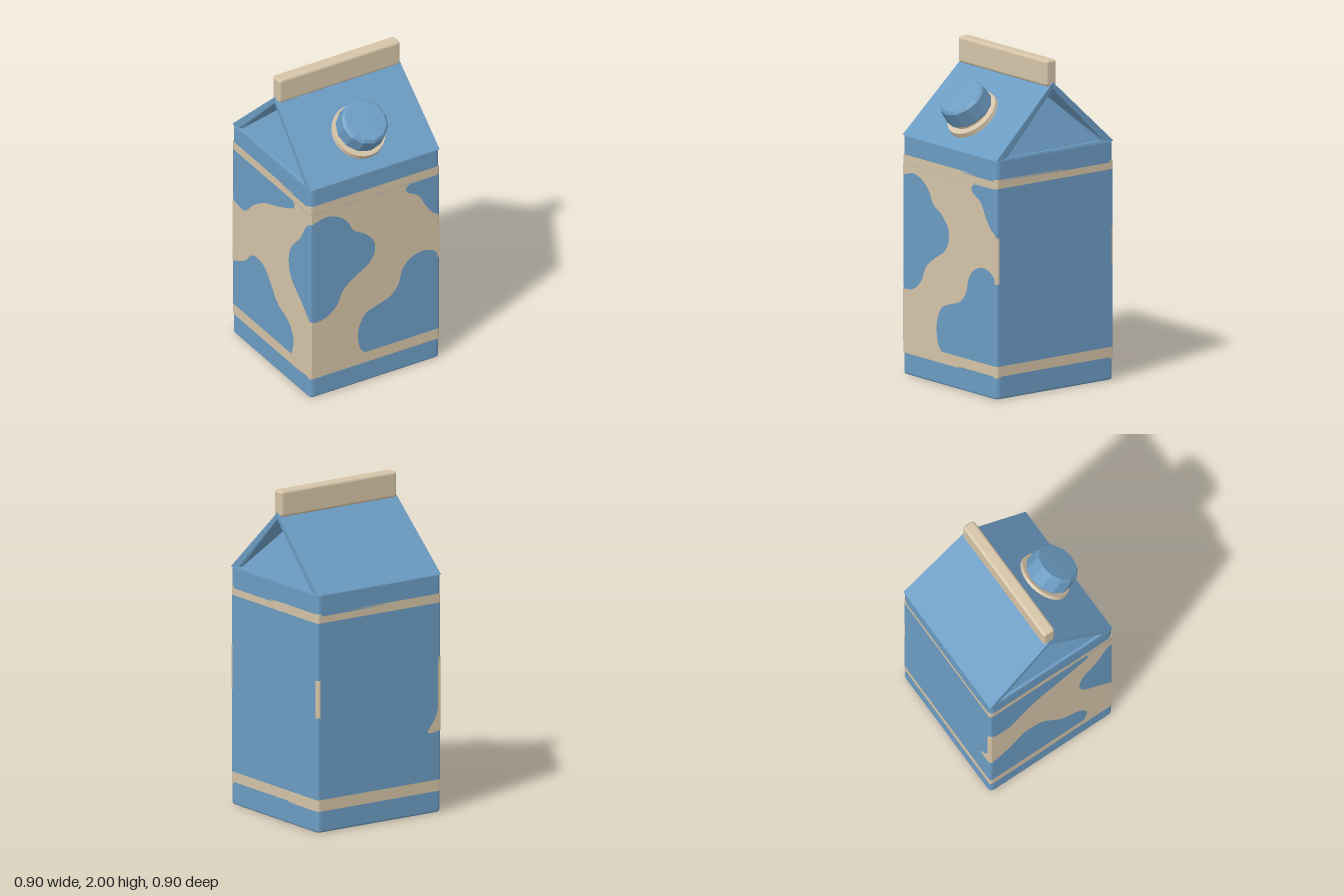
import * as THREE from 'three';
import { RoundedBoxGeometry } from 'three/addons/geometries/RoundedBoxGeometry.js';

const blue = new THREE.MeshStandardMaterial({ name: 'carton blue', color: 0x6c9cc3 });
const beige = new THREE.MeshStandardMaterial({ name: 'warm beige', color: 0xd5c4a8 });

const W = 0.45, D = 0.442, R = 0.02; // half width, half depth, corner radius

function add(parent, name, geometry, material, x = 0, y = 0, z = 0) {
  const mesh = new THREE.Mesh(geometry, material);
  mesh.name = name;
  mesh.position.set(x, y, z);
  parent.add(mesh);
  return mesh;
}

// Horizontal slice of the carton between two heights, with optional bevelled rims
function slice(y0, y1, bevel = 0) {
  const w = W - bevel, d = D - bevel, r = R;
  const s = new THREE.Shape();
  s.moveTo(-w + r, -d);
  s.lineTo(w - r, -d).quadraticCurveTo(w, -d, w, -d + r);
  s.lineTo(w, d - r).quadraticCurveTo(w, d, w - r, d);
  s.lineTo(-w + r, d).quadraticCurveTo(-w, d, -w, d - r);
  s.lineTo(-w, -d + r).quadraticCurveTo(-w, -d, -w + r, -d);
  const g = new THREE.ExtrudeGeometry(s, {
    depth: y1 - y0 - 2 * bevel, curveSegments: 5,
    bevelEnabled: bevel > 0, bevelSize: bevel, bevelThickness: bevel, bevelSegments: 3,
  });
  return g.translate(0, 0, y0 + bevel).rotateX(-Math.PI / 2);
}

// Flat patch whose outline is a chain of smooth sections joined by straight lines
function patch(sections) {
  const pts = sections.flatMap((sec) => {
    const v = sec.map(([x, y]) => new THREE.Vector2(x, y));
    return v.length > 2 ? new THREE.SplineCurve(v).getPoints(v.length * 6) : v;
  });
  return new THREE.ShapeGeometry(new THREE.Shape(pts));
}

// Gable roof: triangular loops from the left recess, over the rims, to the right recess
function roofGeometry() {
  const loop = (s, half, yb, xb, yt, xt) => [
    [s * xb, yb, half], [s * xb, yb, -half], [s * xt, yt, 0],
  ];
  const end = (s) => [
    loop(s, 0.35, 1.462, 0.435, 1.79, 0.31),
    loop(s, 0.37, 1.46, 0.446, 1.825, 0.428),
    loop(s, 0.442, 1.45, 0.449, 1.865, 0.43),
  ];
  const loops = [...end(1), ...end(-1).reverse()];
  const pos = [], idx = [];
  loops.forEach((l) => l.forEach((p) => pos.push(...p)));
  for (let i = 0; i < loops.length - 1; i++) {
    for (let k = 0; k < 3; k++) {
      const a = i * 3 + k, b = i * 3 + (k + 1) % 3, c = a + 3, d = b + 3;
      idx.push(a, c, b, b, c, d);
    }
  }
  const n = pos.length / 3;
  idx.push(0, 1, 2, n - 3, n - 1, n - 2);
  const g = new THREE.BufferGeometry();
  g.setAttribute('position', new THREE.Float32BufferAttribute(pos, 3));
  g.setIndex(idx);
  const flat = g.toNonIndexed();
  flat.computeVertexNormals();
  return flat;
}

export function createModel() {
  const model = new THREE.Group();
  model.name = 'drinkCarton';

  // Carton body with two beige stripes
  add(model, 'base', slice(0, 0.15, 0.012), blue);
  add(model, 'lowerStripe', slice(0.13, 0.2), beige);
  add(model, 'body', slice(0.2, 1.28), blue);
  add(model, 'upperStripe', slice(1.28, 1.335), beige);
  add(model, 'shoulder', slice(1.31, 1.458, 0.012), blue);

  // Beige patch on the front
  const e = W - R / 2, f = D - R / 2;
  add(model, 'frontPatch', patch([
    [[-e, 1.28], [e, 1.28]],
    [[e, 1.276], [0.32, 1.275], [0.23, 1.27], [0.22, 1.225], [0.3, 1.175], [0.35, 1.09], [0.4, 1.025], [e, 1]],
    [[e, 0.72], [0.4, 0.76], [0.33, 0.78], [0.25, 0.76], [0.19, 0.7], [0.16, 0.6], [0.1, 0.535], [0, 0.5],
      [-0.07, 0.47], [-0.11, 0.4], [-0.12, 0.32], [-0.105, 0.24], [-0.07, 0.2]],
    [[-e, 0.2], [-e, 0.52]],
    [[-e, 0.52], [-0.35, 0.53], [-0.27, 0.59], [-0.22, 0.69], [-0.13, 0.76], [-0.05, 0.81], [-0.005, 0.88],
      [-0.01, 0.96], [-0.07, 1.03], [-0.15, 1.08], [-0.19, 1.15], [-0.25, 1.205], [-0.34, 1.235], [-e, 1.21]],
  ]), beige, 0, 0, D + 0.002);

  // Beige patch on the right side
  add(model, 'sidePatch', patch([
    [[0.25, 1.28], [f, 1.28]],
    [[f, 1.21], [0.39, 1.17], [0.33, 1.065], [0.23, 0.95], [0.2, 0.84], [0.23, 0.73], [0.34, 0.63], [f, 0.54]],
    [[f, 0.2], [0.23, 0.2]],
    [[0.23, 0.2], [0.255, 0.31], [0.2, 0.41], [0.08, 0.47], [0, 0.565], [-0.08, 0.65], [-0.2, 0.66], [-0.3, 0.57], [-f, 0.5]],
    [[-f, 0.93], [-0.3, 0.92], [-0.2, 1.01], [-0.08, 1.09], [0.05, 1.14], [0.17, 1.19], [0.26, 1.24], [0.25, 1.28]],
  ]), beige, -W - 0.002).rotation.y = -Math.PI / 2;

  // Small spill of the side patch onto the back
  add(model, 'backPatch', patch([
    [[e, 0.93], [0.425, 0.9], [0.42, 0.62], [0.35, 0.5], [e, 0.5]],
  ]), beige, 0, 0, -D - 0.002).rotation.y = Math.PI;

  // Patches wrapped around the rounded vertical corners
  const wraps = [
    [1, 1, 0.7, 0.98], [1, -1, 0.7, 0.93], [-1, -1, 0.5, 0.95],
    [-1, 1, 0.2, 0.53], [-1, 1, 1.21, 1.28],
  ];
  for (const [sx, sz, y0, y1] of wraps) {
    const start = Math.atan2(sx, sz) - Math.PI / 4;
    const g = new THREE.CylinderGeometry(R + 0.002, R + 0.002, y1 - y0, 6, 1, true, start, Math.PI / 2);
    add(model, 'cornerPatch', g, beige, sx * (W - R), (y0 + y1) / 2, sz * (D - R));
  }

  // Gable roof and sealed top fin
  add(model, 'gableRoof', roofGeometry(), blue);
  add(model, 'topFin', new RoundedBoxGeometry(0.845, 0.16, 0.08, 3, 0.018), beige, 0, 1.92, 0.005);

  // Spout with collar and faceted screw cap on the front slope
  const spout = new THREE.Group();
  spout.name = 'spout';
  spout.position.set(-0.01, 1.615, 0.25);
  spout.rotation.x = 0.64;
  model.add(spout);
  const collar = add(spout, 'collar', new THREE.CylinderGeometry(0.165, 0.178, 0.06, 28), beige, 0.005, 0.005, 0);
  collar.rotation.x = 0.08;
  add(spout, 'neck', new THREE.CylinderGeometry(0.13, 0.13, 0.08, 24), beige, 0, 0.04, 0);
  const profile = [[0, 0.05], [0.145, 0.05], [0.152, 0.06], [0.146, 0.155], [0.13, 0.17], [0, 0.172]];
  const cap = new THREE.LatheGeometry(profile.map(([x, y]) => new THREE.Vector2(x, y)), 12).toNonIndexed();
  cap.computeVertexNormals();
  add(spout, 'screwCap', cap, blue);

  return model;
}
